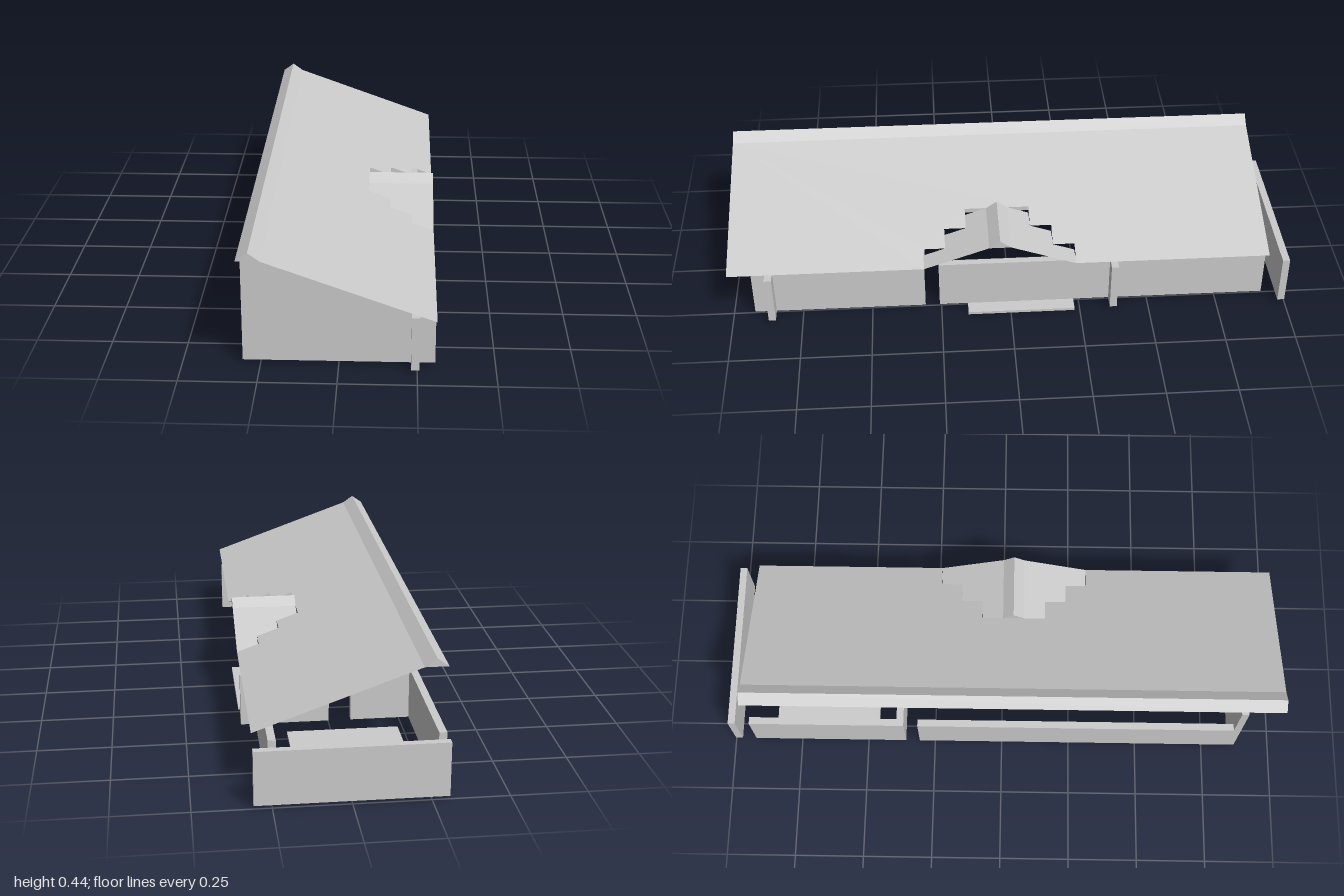
import * as THREE from 'three';

const U = 1 / 13;        // plan grid cell
const R = 0.0277;        // roof rise per cell
const T = U / 3;         // wall thickness
const BASE = 0.01, WALL_TOP = 0.193, EAVE = 0.221;

const solid = new THREE.MeshStandardMaterial({ color: 0xcccccc, flatShading: true });
const thin = new THREE.MeshStandardMaterial({ color: 0xcccccc, flatShading: true, side: THREE.DoubleSide });

export function createModel() {
  const model = new THREE.Group();

  const add = (name, geometry, material = solid, parent = model) => {
    const mesh = new THREE.Mesh(geometry, material);
    mesh.name = name;
    parent.add(mesh);
    return mesh;
  };

  // Box between two plan corners and two heights
  const block = (name, x0, x1, z0, z1, y0 = BASE, y1 = WALL_TOP) =>
    add(name, new THREE.BoxGeometry(x1 - x0, y1 - y0, z1 - z0)
      .translate((x0 + x1) / 2, (y0 + y1) / 2, (z0 + z1) / 2));

  // Thin sheet: plan outline in cells [x, z], lifted by a height rule
  const sheet = (name, outline, height) => {
    const shape = new THREE.Shape(outline.map(([x, z]) => new THREE.Vector2(x * U, -z * U)));
    const geometry = new THREE.ShapeGeometry(shape).rotateX(-Math.PI / 2);
    const p = geometry.attributes.position;
    for (let i = 0; i < p.count; i++) p.setY(i, height(p.getX(i) / U, p.getZ(i) / U));
    geometry.computeVertexNormals();
    return add(name, geometry, thin);
  };

  // Row of ridge tiles along local +z: folded cap, open below, with a fin at each joint
  const ridge = (name, cells) => {
    const group = new THREE.Group();
    group.name = name;
    const cap = new THREE.PlaneGeometry(U, cells * U, 2, 1).rotateX(-Math.PI / 2).translate(0, 0, cells * U / 2);
    const p = cap.attributes.position;
    for (let i = 0; i < p.count; i++) p.setY(i, Math.abs(p.getX(i)) < 1e-6 ? R : 0);
    cap.computeVertexNormals();
    add(name + 'Cap', cap, thin, group);
    const fin = new THREE.Shape([[-U / 2, 0], [U / 2, 0], [0, R]].map(([x, y]) => new THREE.Vector2(x, y)));
    for (let i = 0; i <= cells; i++) add(name + 'Fin', new THREE.ShapeGeometry(fin), thin, group).position.z = i * U;
    model.add(group);
    return group;
  };

  // Tall end wall, stepped down under the roof slope
  const steps = new THREE.Shape();
  steps.moveTo(4 * U, BASE);
  steps.lineTo(4 * U, WALL_TOP);
  for (let i = 7; i > 0; i--) {
    const top = EAVE + (7 - i) * R;
    steps.lineTo((i - 4) * U, i === 7 ? WALL_TOP : top - R);
    steps.lineTo((i - 4) * U, top);
  }
  steps.lineTo(-4 * U, EAVE + 6 * R);
  steps.lineTo(-4 * U, BASE);
  add('steppedEndWall', new THREE.ExtrudeGeometry(steps, { depth: T, bevelEnabled: false })).position.z = 11 * U;

  // Low far end wall
  block('lowEndWall', -4 * U, 4 * U, -13 * U, -13 * U + T);

  // Long walls under the eave, with a narrow slot
  block('eaveWallFront', 3 * U, 3 * U + T, 4 * U, 12 * U);
  block('eaveWallRear', 3 * U, 3 * U + T, -12 * U, 3 * U + T);

  // Long walls under the ridge, with a doorway
  block('ridgeWallFront', -4 * U, -4 * U + T, -4 * U, 11 * U);
  block('ridgeWallRear', -4 * U, -4 * U + T, -12 * U, -5 * U);

  // Cross wall split by a doorway, its end crossing the eave wall
  block('crossWallEave', 0, 4 * U, -5 * U, -5 * U + T);
  block('crossWallRidge', -4 * U, -U, -5 * U, -5 * U + T);

  // Floor pads
  block('frontPad', -U, 0, 4 * U, 9 * U, 0, BASE);
  block('porchPad', 3 * U, 4 * U, -3 * U, 2 * U, 0, BASE);
  block('rearPad', -3 * U, 2 * U, -11 * U, -6 * U, 0, BASE);

  // Main roof slope with a stepped notch for the dormer
  sheet('mainRoof', [
    [-3, 13], [4, 13], [4, 4], [3, 4], [3, 3], [2, 3], [2, 2], [1, 2],
    [1, -1], [2, -1], [2, -2], [3, -2], [3, -3], [4, -3], [4, -12], [-3, -12],
  ], (x) => EAVE + (4 - x) * R);
  ridge('mainRidge', 25).position.set(-3.5 * U, EAVE + 7 * R, -12 * U);

  // Dormer slopes, stepped where they meet the main roof
  const dormerTop = EAVE + 3 * R;
  sheet('dormerSlopeFront', [[1, 1], [1, 2], [2, 2], [2, 3], [3, 3], [3, 4], [4, 4], [4, 1]],
    (x, z) => dormerTop - (z - 1) * R);
  sheet('dormerSlopeRear', [[1, 0], [4, 0], [4, -3], [3, -3], [3, -2], [2, -2], [2, -1], [1, -1]],
    (x, z) => dormerTop + z * R);
  const dormerRidge = ridge('dormerRidge', 3);
  dormerRidge.rotation.y = Math.PI / 2;
  dormerRidge.position.set(U, dormerTop, U / 2);

  return model;
}
